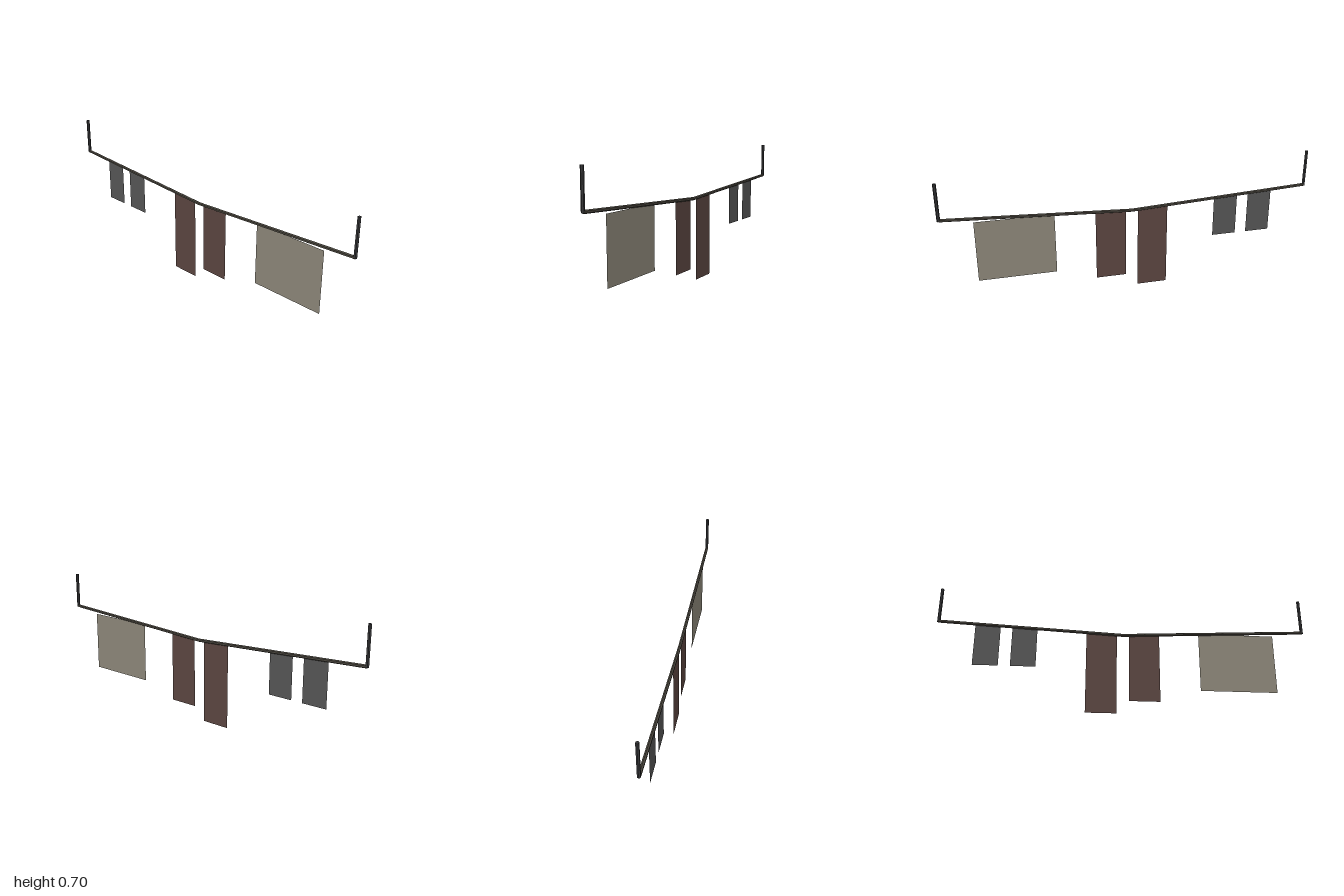
import * as THREE from 'three';

const paint = (color, side = THREE.FrontSide) =>
  new THREE.MeshStandardMaterial({ color, side, flatShading: true });

// Thin six-sided rod between two points in the z = 0 plane, edges facing sideways
function rod(name, x1, y1, x2, y2, material) {
  const length = Math.hypot(x2 - x1, y2 - y1);
  const geometry = new THREE.CylinderGeometry(0.009, 0.009, length, 6, 1, false, Math.PI / 6);
  const mesh = new THREE.Mesh(geometry, material);
  mesh.position.set((x1 + x2) / 2, (y1 + y2) / 2, 0);
  mesh.rotation.z = Math.atan2(y2 - y1, x2 - x1) - Math.PI / 2;
  mesh.name = name;
  return mesh;
}

// Flat rectangular cloth hanging in the z = 0 plane
function cloth(name, left, right, bottom, top, color) {
  const mesh = new THREE.Mesh(
    new THREE.PlaneGeometry(right - left, top - bottom),
    paint(color, THREE.DoubleSide));
  mesh.position.set((left + right) / 2, (bottom + top) / 2, 0);
  mesh.name = name;
  return mesh;
}

export function createModel() {
  const group = new THREE.Group();
  group.name = 'clothesline';
  const ropePaint = paint(0x4a463e);
  const postPaint = paint(0x343436);

  // Sagging line and its upright end pieces, mirrored
  for (const [side, s] of [['left', 1], ['right', -1]]) {
    group.add(rod(side + 'Line', 0, 0.45, s * 0.991, 0.5, ropePaint));
    group.add(rod(side + 'Upright', s * 0.991, 0.496, s * 0.991, 0.696, postPaint));
  }

  // Hanging cloths
  group.add(
    cloth('smallClothOuter', -0.795, -0.66, 0.25, 0.485, 0x555555),
    cloth('smallClothInner', -0.597, -0.463, 0.25, 0.475, 0x555555),
    cloth('longCloth', -0.198, -0.034, 0, 0.452, 0x5a4540),
    cloth('mediumCloth', 0.032, 0.196, 0.07, 0.452, 0x5a4540),
    cloth('wideCloth', 0.412, 0.824, 0.138, 0.472, 0x8b8578));
  return group;
}
